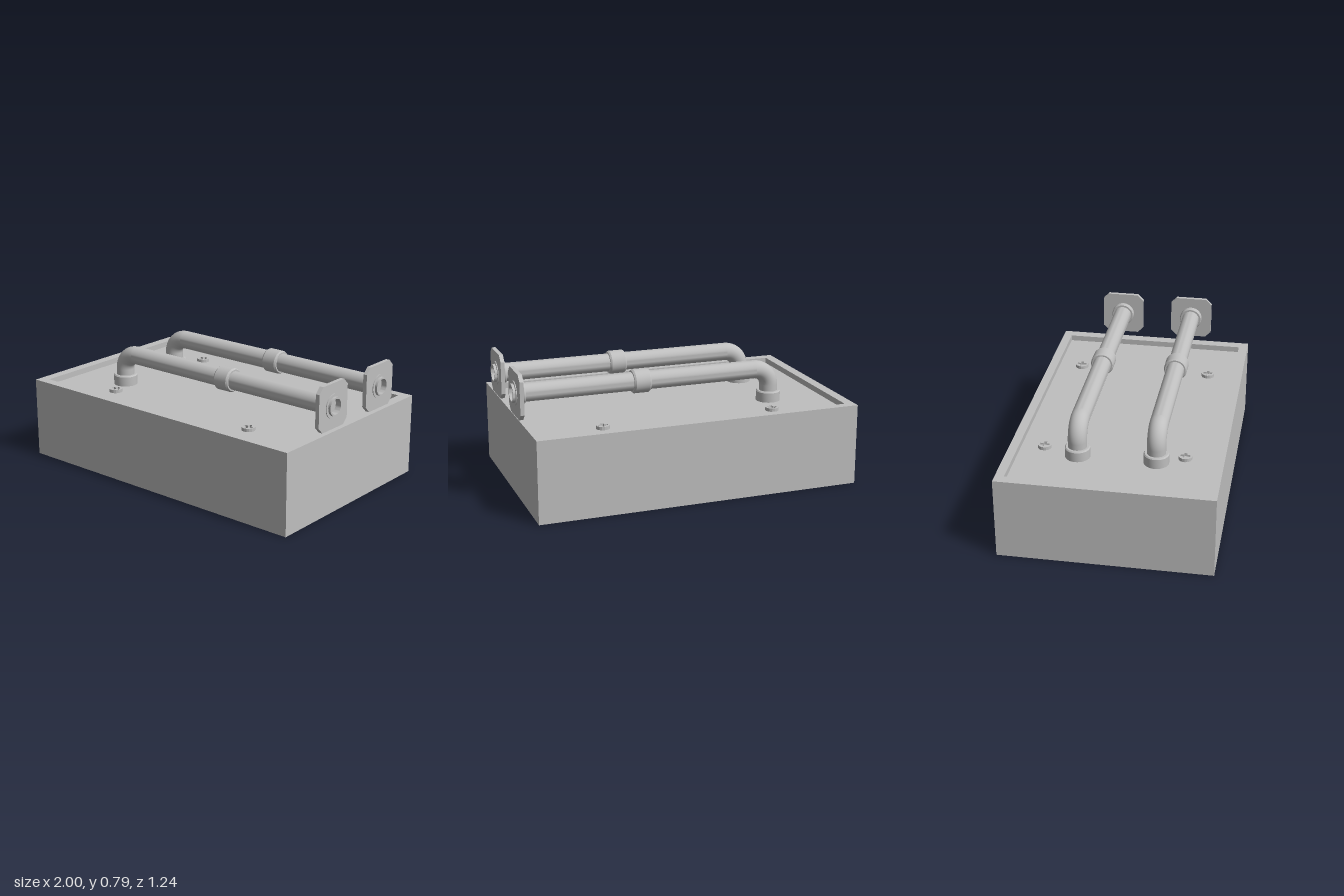
import * as THREE from 'three';
import { toCreasedNormals } from 'three/addons/utils/BufferGeometryUtils.js';

const FLOOR = 0.455, RIM = 0.49, PIPE_Y = 0.655, PIPE_R = 0.055, BEND = 0.1;
const PIPE_X = -0.597, PIPE_Z = [0.233, -0.222];
const SCREWS = [[-0.53, -0.43], [0.52, -0.42], [-0.53, 0.39], [0.52, 0.4]];

// Turned part from [radius, height] pairs, with sharp edges kept
function turned(points) {
  const profile = points.map(([r, h]) => new THREE.Vector2(r, h));
  return toCreasedNormals(new THREE.LatheGeometry(profile, 36), 0.5);
}

// Turned part lying along +x
const turnedAlongX = (points) => turned(points).rotateZ(-Math.PI / 2);

// Rectangular rings joined into a flat-sided shell: [x0, x1, z0, z1, y]
function rectShell(rings) {
  const pos = [];
  const corners = ([x0, x1, z0, z1, y]) => [[x0, y, z1], [x1, y, z1], [x1, y, z0], [x0, y, z0]];
  for (let k = 0; k < rings.length - 1; k++) {
    const lo = corners(rings[k]), hi = corners(rings[k + 1]);
    for (let i = 0; i < 4; i++) {
      const j = (i + 1) % 4;
      pos.push(...lo[i], ...lo[j], ...hi[j], ...lo[i], ...hi[j], ...hi[i]);
    }
  }
  const g = new THREE.BufferGeometry();
  g.setAttribute('position', new THREE.Float32BufferAttribute(pos, 3));
  g.computeVertexNormals();
  return g;
}

function circlePath(x, y, r) {
  return new THREE.Path().absarc(x, y, r, 0, Math.PI * 2, true);
}

const polygon = (points) => points.map(([x, y]) => new THREE.Vector2(x, y));

export function createModel() {
  const model = new THREE.Group();
  const grey = new THREE.MeshStandardMaterial({ color: 0xbfbfbf, side: THREE.DoubleSide });
  grey.name = 'grey';
  const add = (parent, name, geometry) => {
    const mesh = new THREE.Mesh(geometry, grey);
    mesh.name = name;
    parent.add(mesh);
    return mesh;
  };

  // Open-bottomed casing with a raised rim
  const outer = [-1, 0.96, -0.62, 0.62], inner = [-0.94, 0.895, -0.567, 0.563];
  add(model, 'casing', rectShell([[...outer, 0], [...outer, RIM], [...inner, RIM], [...inner, FLOOR]]));

  // Sunken top panel with an opening under each pipe
  const [x0, x1, z0, z1] = inner;
  const panel = new THREE.Shape(polygon([[x0, -z1], [x1, -z1], [x1, -z0], [x0, -z0]]));
  for (const z of PIPE_Z) panel.holes.push(circlePath(PIPE_X, -z, 0.068));
  add(model, 'topPanel', new THREE.ShapeGeometry(panel, 18).rotateX(-Math.PI / 2).translate(0, FLOOR, 0));

  // Cross-slotted screw heads
  const a = 0.028, b = 0.009;
  const head = new THREE.Shape().absarc(0, 0, 0.04, 0, Math.PI * 2, false);
  head.holes.push(new THREE.Path(polygon([
    [a, b], [b, b], [b, a], [-b, a], [-b, b], [-a, b],
    [-a, -b], [-b, -b], [-b, -a], [b, -a], [b, -b], [a, -b], [a, b],
  ])));
  const screwGeo = new THREE.ExtrudeGeometry(head, { depth: 0.02, bevelEnabled: false, curveSegments: 8 })
    .rotateX(-Math.PI / 2);
  for (const [x, z] of SCREWS) add(model, 'screw', screwGeo).position.set(x, FLOOR, z);

  // Pipe parts
  const collarGeo = turned([[0, 0.485], [0.062, 0.485], [0.062, FLOOR], [0.073, FLOOR],
    [0.073, 0.513], [0.067, 0.52], [0.05, 0.52]]);
  const stubGeo = new THREE.CylinderGeometry(PIPE_R, PIPE_R, 0.06, 36, 1, true);
  const elbowGeo = new THREE.TorusGeometry(BEND, PIPE_R, 36, 16, Math.PI / 2).rotateZ(Math.PI / 2);
  const straightGeo = turnedAlongX([[PIPE_R, PIPE_X + BEND], [PIPE_R, 1], [0.045, 1], [0.045, 0.965], [0, 0.965]]);
  const couplingGeo = turnedAlongX([[0.05, 0.175], [0.064, 0.175], [0.071, 0.185],
    [0.071, 0.27], [0.064, 0.28], [0.05, 0.28]]);
  const hubGeo = turnedAlongX([[0.05, 0.927], [0.066, 0.927], [0.071, 0.935],
    [0.071, 0.985], [0.05, 0.985]]);

  // Chamfered square end plate
  const h = 0.133, c = 0.097;
  const plate = new THREE.Shape(polygon([[h, -c], [h, c], [c, h], [-c, h], [-h, c], [-h, -c], [-c, -h], [c, -h]]));
  plate.holes.push(circlePath(0, 0, 0.07));
  const plateGeo = new THREE.ExtrudeGeometry(plate, { depth: 0.024, bevelEnabled: false, curveSegments: 18 })
    .rotateY(Math.PI / 2);

  // Two matching pipes
  for (const z of PIPE_Z) {
    const pipe = new THREE.Group();
    pipe.name = 'pipe';
    pipe.position.z = z;
    add(pipe, 'baseCollar', collarGeo).position.x = PIPE_X;
    add(pipe, 'riser', stubGeo).position.set(PIPE_X, PIPE_Y - BEND - 0.03, 0);
    add(pipe, 'elbow', elbowGeo).position.set(PIPE_X + BEND, PIPE_Y - BEND, 0);
    add(pipe, 'straightPipe', straightGeo).position.y = PIPE_Y;
    add(pipe, 'coupling', couplingGeo).position.y = PIPE_Y;
    add(pipe, 'endHub', hubGeo).position.y = PIPE_Y;
    add(pipe, 'endPlate', plateGeo).position.set(0.956, PIPE_Y, 0);
    model.add(pipe);
  }
  return model;
}
